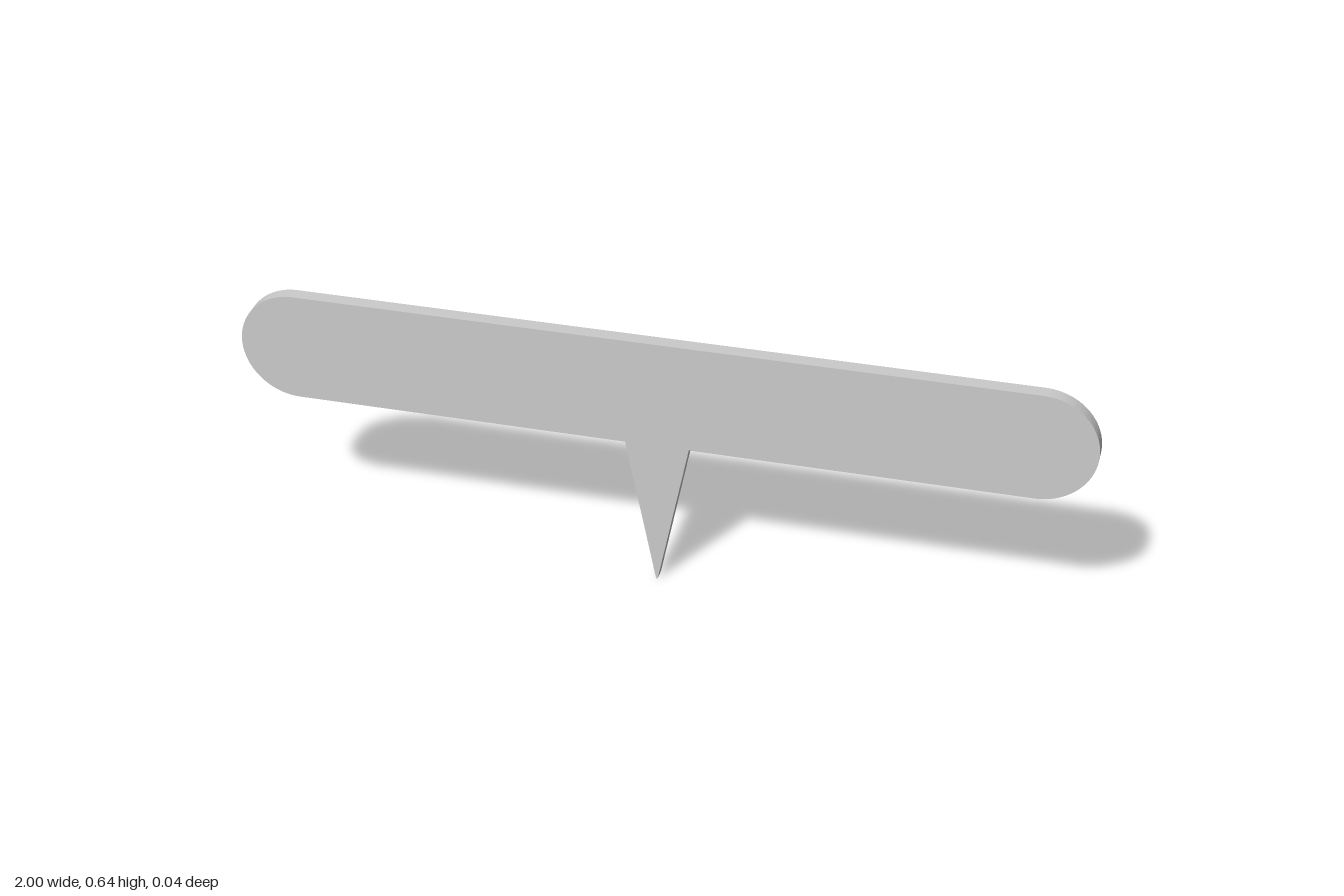
import * as THREE from 'three';
import { toCreasedNormals } from 'three/addons/utils/BufferGeometryUtils.js';

const material = new THREE.MeshStandardMaterial({ color: 0xcccccc });

// Flat plate cut from a front outline, centred on z = 0
function plate(name, shape, depth) {
  const geometry = new THREE.ExtrudeGeometry(shape, { depth, bevelEnabled: false, curveSegments: 32 });
  geometry.translate(0, 0, -depth / 2);
  const mesh = new THREE.Mesh(toCreasedNormals(geometry, 0.6), material);
  mesh.name = name;
  return mesh;
}

export function createModel() {
  const model = new THREE.Group();
  model.name = 'signOnSpike';

  // Long board with fully rounded ends
  const radius = 0.134, centerY = 0.506, endX = 1 - radius;
  const board = new THREE.Shape();
  board.absarc(endX, centerY, radius, -Math.PI / 2, Math.PI / 2);
  board.absarc(-endX, centerY, radius, Math.PI / 2, Math.PI * 1.5);
  board.closePath();
  model.add(plate('board', board, 0.035));

  // Tapered ground spike, its top set just inside the board
  const spike = new THREE.Shape([
    new THREE.Vector2(-0.002, 0),
    new THREE.Vector2(0.002, 0),
    new THREE.Vector2(0.077, 0.38),
    new THREE.Vector2(-0.077, 0.38),
  ]);
  model.add(plate('spike', spike, 0.032));

  return model;
}
